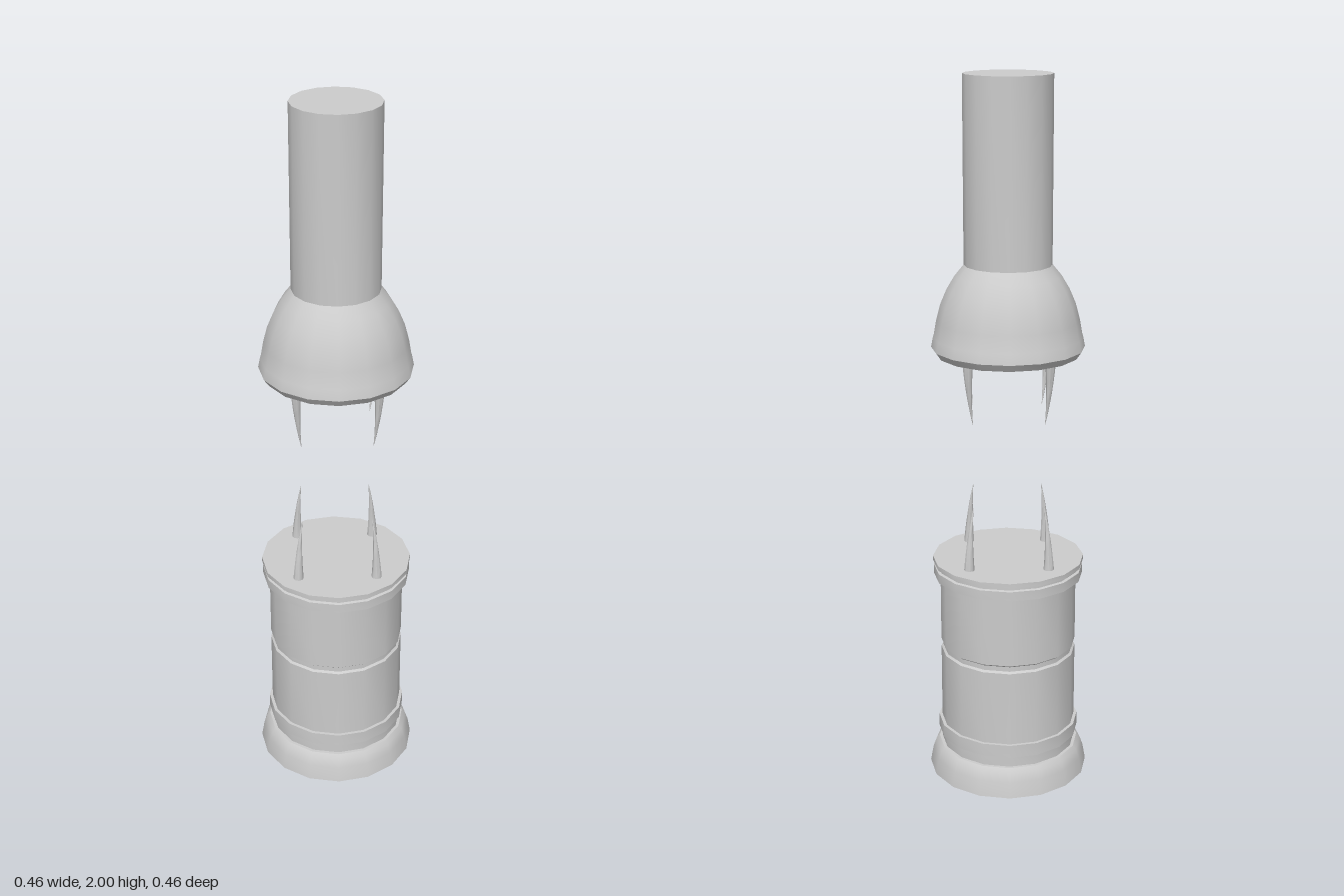
import * as THREE from 'three';
import { toCreasedNormals } from 'three/addons/utils/BufferGeometryUtils.js';

const material = new THREE.MeshStandardMaterial({ color: 0xcccccc });

// Sixteen-sided turned part; profile is [radius, y] from bottom to top
function turned(name, profile) {
  const points = profile.map(([r, y]) => new THREE.Vector2(r, y));
  const geometry = toCreasedNormals(new THREE.LatheGeometry(points, 16), 0.55);
  const mesh = new THREE.Mesh(geometry, material);
  mesh.name = name;
  return mesh;
}

// Tapered claw that bends towards the axis at its tip
function clawGeometry() {
  const height = 0.185;
  const geometry = new THREE.CylinderGeometry(0.0005, 0.015, height, 8, 6);
  geometry.translate(0, height / 2, 0);
  const p = geometry.attributes.position;
  for (let i = 0; i < p.count; i++) {
    const t = p.getY(i) / height;
    p.setX(i, p.getX(i) + 0.157 - 0.018 * t * t);
  }
  return toCreasedNormals(geometry, 0.9);
}

// Four claws around the axis
function clawRing(name) {
  const ring = new THREE.Group();
  ring.name = name;
  const geometry = clawGeometry();
  for (let i = 0; i < 4; i++) {
    const claw = new THREE.Mesh(geometry, material);
    claw.name = 'claw';
    claw.rotation.y = (i * Math.PI) / 2;
    ring.add(claw);
  }
  return ring;
}

export function createModel() {
  const model = new THREE.Group();
  model.name = 'clawedPillar';

  // Lower pedestal
  const lower = new THREE.Group();
  lower.name = 'lowerPedestal';
  lower.add(turned('foot', [
    [0, 0], [0.23, 0], [0.222, 0.045], [0.213, 0.07], [0.203, 0.082], [0, 0.082],
  ]));
  // Drum with a collar, a middle groove and a stepped rim
  lower.add(turned('drum', [
    [0.194, 0.08], [0.194, 0.115], [0.203, 0.115], [0.203, 0.153], [0.194, 0.153],
    [0.194, 0.373], [0.188, 0.378], [0.188, 0.392], [0.194, 0.397],
    [0.194, 0.603], [0.213, 0.603], [0.213, 0.63], [0.205, 0.632], [0.205, 0.638],
    [0.215, 0.642], [0.215, 0.655], [0, 0.655],
  ]));
  const lowerClaws = clawRing('lowerClaws');
  lowerClaws.position.y = 0.65;
  lower.add(lowerClaws);

  // Upper hanging part
  const upper = new THREE.Group();
  upper.name = 'upperPillar';
  upper.add(turned('bell', [
    [0, 1.25], [0.197, 1.25], [0.211, 1.27], [0.205, 1.3], [0.203, 1.305],
    [0.196, 1.345], [0.184, 1.39], [0.167, 1.43], [0.145, 1.467], [0.118, 1.5],
  ]));
  upper.add(turned('shaft', [[0.12, 1.497], [0.12, 2], [0, 2]]));
  const upperClaws = clawRing('upperClaws');
  upperClaws.rotation.x = Math.PI;
  upperClaws.position.y = 1.26;
  upper.add(upperClaws);

  model.add(lower, upper);
  return model;
}
